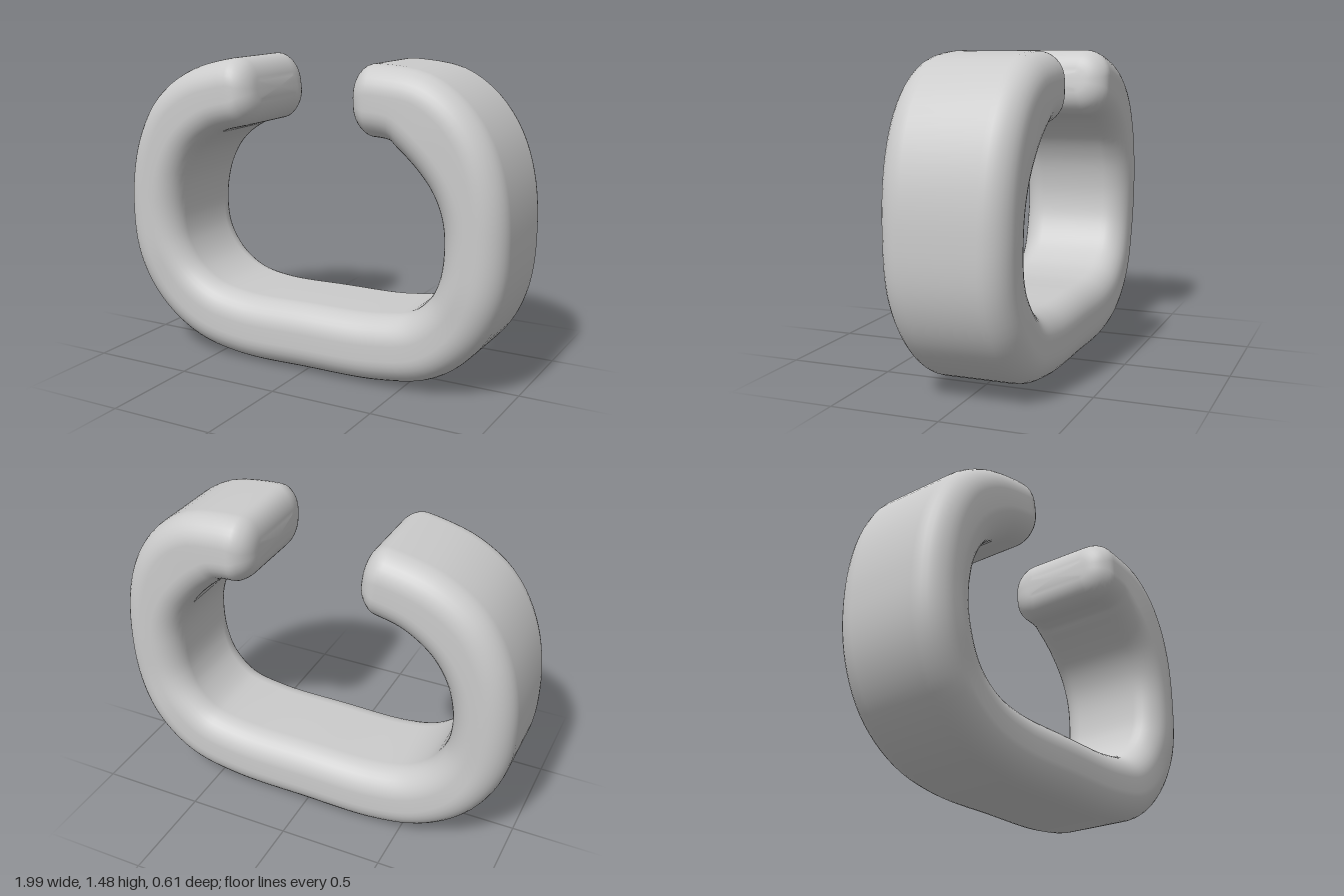
import * as THREE from 'three';

// Rounded rectangle ring: half thickness h, half width w, corner radius r
function roundedRing(h, w, r, steps = 8) {
  const ring = [];
  const corners = [[1, 1], [-1, 1], [-1, -1], [1, -1]];
  corners.forEach(([su, sv], k) => {
    for (let i = 0; i <= steps; i++) {
      const a = (k + i / steps) * Math.PI / 2;
      ring.push([su * (h - r) + r * Math.cos(a), sv * (w - r) + r * Math.sin(a)]);
    }
  });
  return ring;
}

export function createModel() {
  const group = new THREE.Group();
  group.name = 'openLink';

  // Centre line of the C shape, from one tip round the bottom to the other
  const path = new THREE.CatmullRomCurve3([
    [-0.265, 1.335, 0], [-0.40, 1.315, 0], [-0.56, 1.265, 0], [-0.71, 1.155, 0],
    [-0.815, 0.97, 0], [-0.857, 0.73, 0], [-0.83, 0.51, 0], [-0.73, 0.335, -0.01],
    [-0.57, 0.22, -0.015], [-0.36, 0.172, -0.018], [0, 0.17, -0.018], [0.38, 0.18, -0.018],
    [0.60, 0.23, -0.015], [0.75, 0.36, -0.01], [0.825, 0.52, 0], [0.845, 0.75, 0],
    [0.82, 0.93, 0], [0.755, 1.085, 0], [0.65, 1.215, 0], [0.52, 1.3, -0.003],
    [0.40, 1.322, -0.005], [0.255, 1.32, -0.005],
  ].map((p) => new THREE.Vector3(...p)));
  path.arcLengthDivisions = 1000;
  const length = path.getLength();

  // Stations [position, inset]: rounded tips at both ends, even steps between
  const capDepth = 0.1, capInset = 0.12, capSteps = 10, bodySteps = 110;
  const startCap = [];
  for (let i = 0; i < capSteps; i++) {
    const a = (i / capSteps) * Math.PI / 2;
    startCap.push([capDepth * (1 - Math.cos(a)) / length, capInset * (1 - Math.sin(a))]);
  }
  const endCap = startCap.map(([u, inset]) => [1 - u, inset]).reverse();
  const u0 = capDepth / length;
  const body = [];
  for (let i = 0; i <= bodySteps; i++) body.push([u0 + (1 - 2 * u0) * i / bodySteps, 0]);
  const stations = [...startCap, ...body, ...endCap];

  // Sweep the section along the path, a little thicker at the upper shoulders
  const positions = [], indices = [];
  let count = 0;
  stations.forEach(([u, inset], s) => {
    const c = path.getPointAt(u);
    const t = path.getTangentAt(u).setZ(0).normalize();
    const bulge = c.y < 0.75 ? 0 : c.x > 0 ? 0.028 : 0.012;
    const h = 0.146 + 0.015 * Math.abs(t.x) + bulge * 4 * t.x * t.x * t.y * t.y - inset;
    const w = 0.283 + 0.015 * c.y - inset;
    const ring = roundedRing(h, w, Math.min(0.125, h * 0.85));
    count = ring.length;
    for (const [n, z] of ring) positions.push(c.x - t.y * n, c.y + t.x * n, c.z + z);
    if (s === 0) return;
    for (let j = 0; j < count; j++) {
      const k = (j + 1) % count;
      const a = (s - 1) * count, b = s * count;
      indices.push(a + j, a + k, b + k, a + j, b + k, b + j);
    }
  });

  // Slightly domed faces closing the tips
  const last = (stations.length - 1) * count;
  [[0, 0, -1], [1, last, 1]].forEach(([u, base, dir]) => {
    const p = path.getPointAt(u).addScaledVector(path.getTangentAt(u), 0.01 * dir);
    const centre = positions.length / 3;
    positions.push(p.x, p.y, p.z);
    for (let j = 0; j < count; j++) {
      const k = (j + 1) % count;
      if (dir > 0) indices.push(centre, base + j, base + k);
      else indices.push(centre, base + k, base + j);
    }
  });

  const geometry = new THREE.BufferGeometry();
  geometry.setAttribute('position', new THREE.Float32BufferAttribute(positions, 3));
  geometry.setIndex(indices);
  geometry.computeVertexNormals();

  const band = new THREE.Mesh(geometry, new THREE.MeshStandardMaterial({ color: 0xcccccc }));
  band.name = 'curvedBand';
  group.add(band);
  return group;
}
